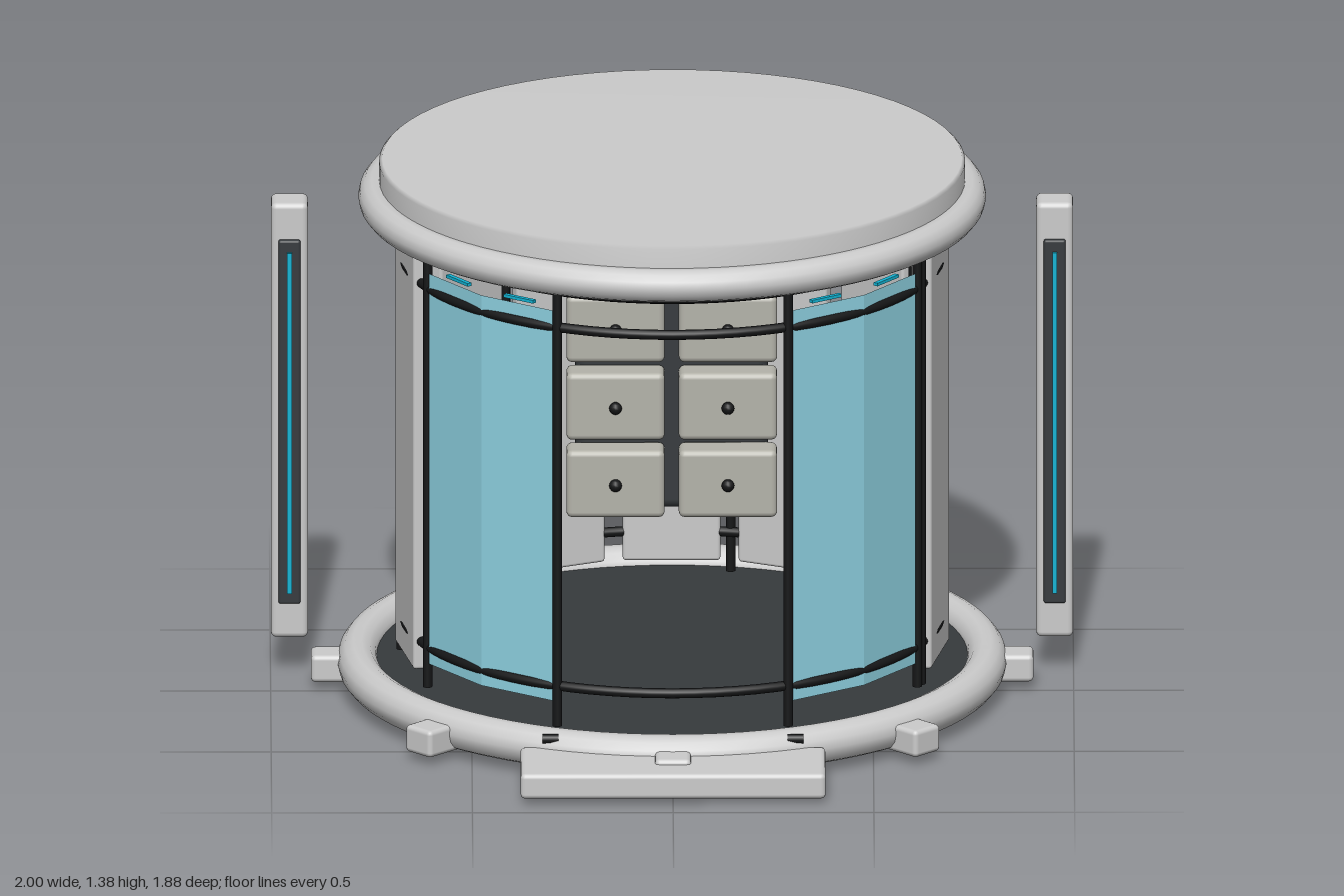
import * as THREE from 'three';
import { RoundedBoxGeometry } from 'three/addons/geometries/RoundedBoxGeometry.js';

const paint = (color, extra = {}) => new THREE.MeshStandardMaterial({ color, ...extra });
const grey = paint(0xcccccc);
const black = paint(0x151617);
const dark = paint(0x363a3d);
const teal = paint(0x12b4d4);
const drawerGrey = paint(0xb4b3aa);
const glass = paint(0x8fd3e3, { side: THREE.DoubleSide, flatShading: true });
const rad = THREE.MathUtils.degToRad;

function add(parent, name, geometry, material, x = 0, y = 0, z = 0) {
  const mesh = new THREE.Mesh(geometry, material);
  mesh.name = name;
  mesh.position.set(x, y, z);
  parent.add(mesh);
  return mesh;
}

const rounded = (w, h, d, r = 0.012) => new RoundedBoxGeometry(w, h, d, 2, r);

// Group on the circle at an angle from the front, its +z pointing outward
function spoke(parent, name, degrees) {
  const group = new THREE.Group();
  group.name = name;
  group.rotation.y = rad(degrees);
  parent.add(group);
  return group;
}

function ring(parent, name, radius, tube, y, material) {
  const mesh = add(parent, name, new THREE.TorusGeometry(radius, tube, 14, 80), material, 0, y, 0);
  mesh.rotation.x = Math.PI / 2;
}

function addBase(cabin) {
  add(cabin, 'floor', new THREE.CylinderGeometry(0.745, 0.73, 0.07, 64), dark, 0, 0.045, 0);
  add(cabin, 'floorUnderside', new THREE.CylinderGeometry(0.73, 0.73, 0.012, 64), black, 0, 0.006, 0);
  ring(cabin, 'baseRing', 0.784, 0.05, 0.07, grey);
  for (let i = 0; i < 8; i++) {
    const foot = spoke(cabin, 'foot', i * 45);
    add(foot, 'footBlock', rounded(0.09, 0.07, 0.14), grey, 0, 0.056, 0.83);
  }
}

function addRoof(cabin) {
  const profile = [[0, 1.24], [0.735, 1.24], [0.735, 1.315], [0.73, 1.32], [0.73, 1.372], [0.722, 1.38], [0, 1.38]];
  const roof = new THREE.LatheGeometry(profile.map(([r, y]) => new THREE.Vector2(r, y)), 72);
  add(cabin, 'roof', roof, grey);
  ring(cabin, 'roofRing', 0.74, 0.042, 1.282, grey);
  ring(cabin, 'roofSeal', 0.64, 0.02, 1.222, black);
}

function addWall(cabin) {
  // Nine flat wall panels, centred on the back
  for (let i = -4; i <= 4; i++) {
    const panel = spoke(cabin, 'wallPanel', 180 + i * 25.2);
    add(panel, 'panelBoard', rounded(0.243, 1.08, 0.035, 0.008), grey, 0, 0.66, 0.6625);
    if (i % 2) {
      // Light strips face the middle of the back
      add(panel, 'lightStrip', new THREE.BoxGeometry(0.022, 0.74, 0.014), teal, i < 0 ? 0.066 : -0.066, 0.66, 0.682);
    }
    if (Math.abs(i) === 1) {
      add(panel, 'handleStrip', new THREE.BoxGeometry(0.016, 0.64, 0.014), dark, 0, 0.62, 0.682);
    }
  }
  // Posts between panels and beside the glass
  const postAngles = [25.2, 64.6, -64.6, -25.2];
  for (let i = 0; i < 5; i++) postAngles.push(66.6 + i * 50.4);
  for (const angle of postAngles) {
    const post = spoke(cabin, 'post', angle);
    add(post, 'postRod', new THREE.CylinderGeometry(0.012, 0.012, 1.13, 12), black, 0, 0.655, 0.675);
  }
  for (const y of [0.193, 1.13]) ring(cabin, 'rail', 0.67, 0.0125, y, black);
  // Two-sided glass bays flanking the doorway
  for (const start of [26, -63]) {
    const bay = new THREE.CylinderGeometry(0.68, 0.68, 1.02, 2, 1, true, rad(start), rad(37));
    add(cabin, 'glassBay', bay, glass, 0, 0.665, 0);
    for (const offset of [9.25, 27.75]) {
      const lamp = spoke(cabin, 'bayLamp', start + offset);
      add(lamp, 'bayLampBar', new THREE.BoxGeometry(0.09, 0.008, 0.012), teal, 0, 1.184, 0.66);
    }
  }
}

function addCabinet(cabin) {
  const cabinet = new THREE.Group();
  cabinet.name = 'drawerCabinet';
  cabinet.position.z = -0.55;
  cabin.add(cabinet);
  add(cabinet, 'cabinetBoard', rounded(0.48, 0.65, 0.06, 0.025), dark, 0, 0.62, 0);
  for (const y of [0.385, 0.587, 0.79]) {
    for (const x of [-0.14, 0.14]) {
      add(cabinet, 'drawer', rounded(0.245, 0.175, 0.09, 0.015), drawerGrey, x, y, 0.07);
      add(cabinet, 'drawerKnob', new THREE.SphereGeometry(0.016, 12, 8), black, x, y, 0.12);
    }
  }
}

export function createModel() {
  const model = new THREE.Group();
  model.name = 'roundCabin';
  const cabin = new THREE.Group();
  cabin.name = 'cabin';
  cabin.position.z = -0.043;
  model.add(cabin);

  addBase(cabin);
  addRoof(cabin);
  addWall(cabin);
  addCabinet(cabin);

  // Entrance ramp with hinges
  add(model, 'ramp', rounded(0.76, 0.065, 0.235), grey, 0, 0.047, 0.822);

  for (const side of [-1, 1]) {
    const hinge = add(model, 'rampHinge', new THREE.CylinderGeometry(0.012, 0.012, 0.04, 10), black, side * 0.305, 0.102, 0.715);
    hinge.rotation.z = Math.PI / 2;

    // Free-standing light pillars
    const pillar = new THREE.Group();
    pillar.name = 'lightPillar';
    pillar.position.set(side * 0.953, 0.66, -0.192);
    model.add(pillar);
    add(pillar, 'pillarBody', rounded(0.092, 1.135, 0.1, 0.014), grey);
    add(pillar, 'pillarInset', rounded(0.055, 0.95, 0.02, 0.006), dark, 0, 0, 0.052);
    add(pillar, 'pillarLight', new THREE.BoxGeometry(0.012, 0.89, 0.012), teal, 0, 0, 0.067);
  }
  return model;
}
